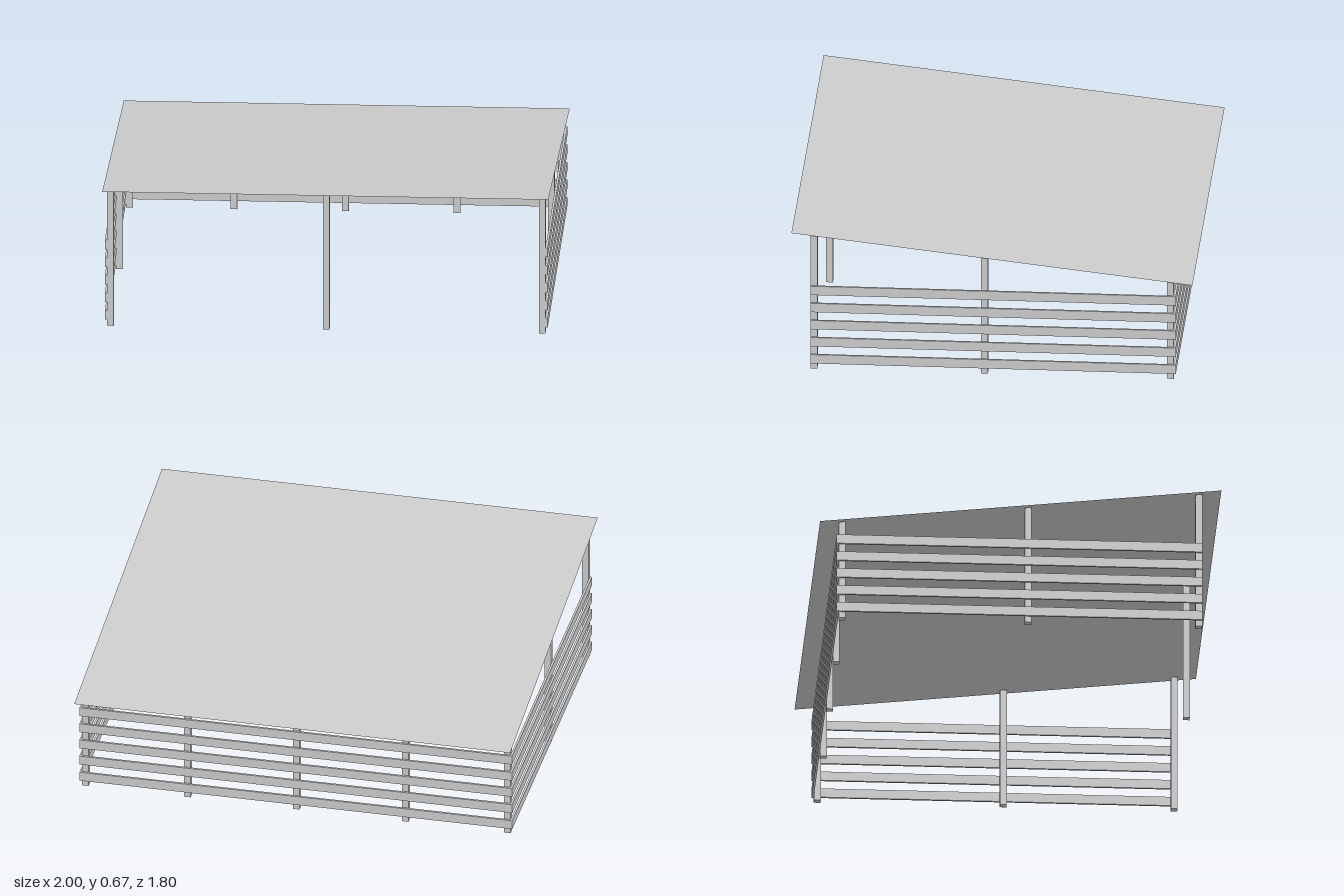
import * as THREE from 'three';

const material = new THREE.MeshStandardMaterial({ color: 0xcccccc, flatShading: true });
const roofMaterial = new THREE.MeshStandardMaterial({ color: 0xcccccc, side: THREE.DoubleSide });

const POST = 0.03;
const ROOF_FRONT = 0.665, ROOF_BACK = 0.466, ROOF_HALF_DEPTH = 0.9;
const roofHeight = (z) => THREE.MathUtils.mapLinear(z, -ROOF_HALF_DEPTH, ROOF_HALF_DEPTH, ROOF_BACK, ROOF_FRONT);

function box(name, w, h, d, x, y, z) {
  const mesh = new THREE.Mesh(new THREE.BoxGeometry(w, h, d), material);
  mesh.name = name;
  mesh.position.set(x, y, z);
  return mesh;
}

// Square post whose top is cut to the slope of the roof
function post(name, x, z) {
  const mesh = box(name, POST, 1, POST, x, 0, z);
  const p = mesh.geometry.attributes.position;
  for (let i = 0; i < p.count; i++) {
    p.setY(i, p.getY(i) > 0 ? roofHeight(z + p.getZ(i)) - 0.004 : 0);
  }
  mesh.geometry.computeVertexNormals();
  return mesh;
}

export function createModel() {
  const model = new THREE.Group();
  model.name = 'openShed';

  // Posts: three at the front, one mid-way on each side, five at the back
  for (const x of [-0.968, 0, 0.968]) model.add(post('frontPost', x, 0.8));
  for (const x of [-0.968, 0.968]) model.add(post('sidePost', x, 0.034));
  for (const x of [-0.968, -0.5, 0, 0.5, 0.968]) model.add(post('backPost', x, -0.8));

  // Five rails on the outside of the back and both sides; the front stays open
  for (let i = 0; i < 5; i++) {
    const y = 0.05 + i * 0.0835;
    model.add(box('backRail', 1.986, 0.043, 0.01, 0, y, -0.82));
    for (const s of [-1, 1]) {
      model.add(box(s > 0 ? 'leftRail' : 'rightRail', 0.01, 0.043, 1.63, s * 0.988, y, 0));
    }
  }

  // Thin sloping roof sheet
  const roofGeometry = new THREE.PlaneGeometry(2, ROOF_HALF_DEPTH * 2).rotateX(-Math.PI / 2);
  const p = roofGeometry.attributes.position;
  for (let i = 0; i < p.count; i++) p.setY(i, roofHeight(p.getZ(i)));
  roofGeometry.computeVertexNormals();
  const roof = new THREE.Mesh(roofGeometry, roofMaterial);
  roof.name = 'roof';
  model.add(roof);

  return model;
}
